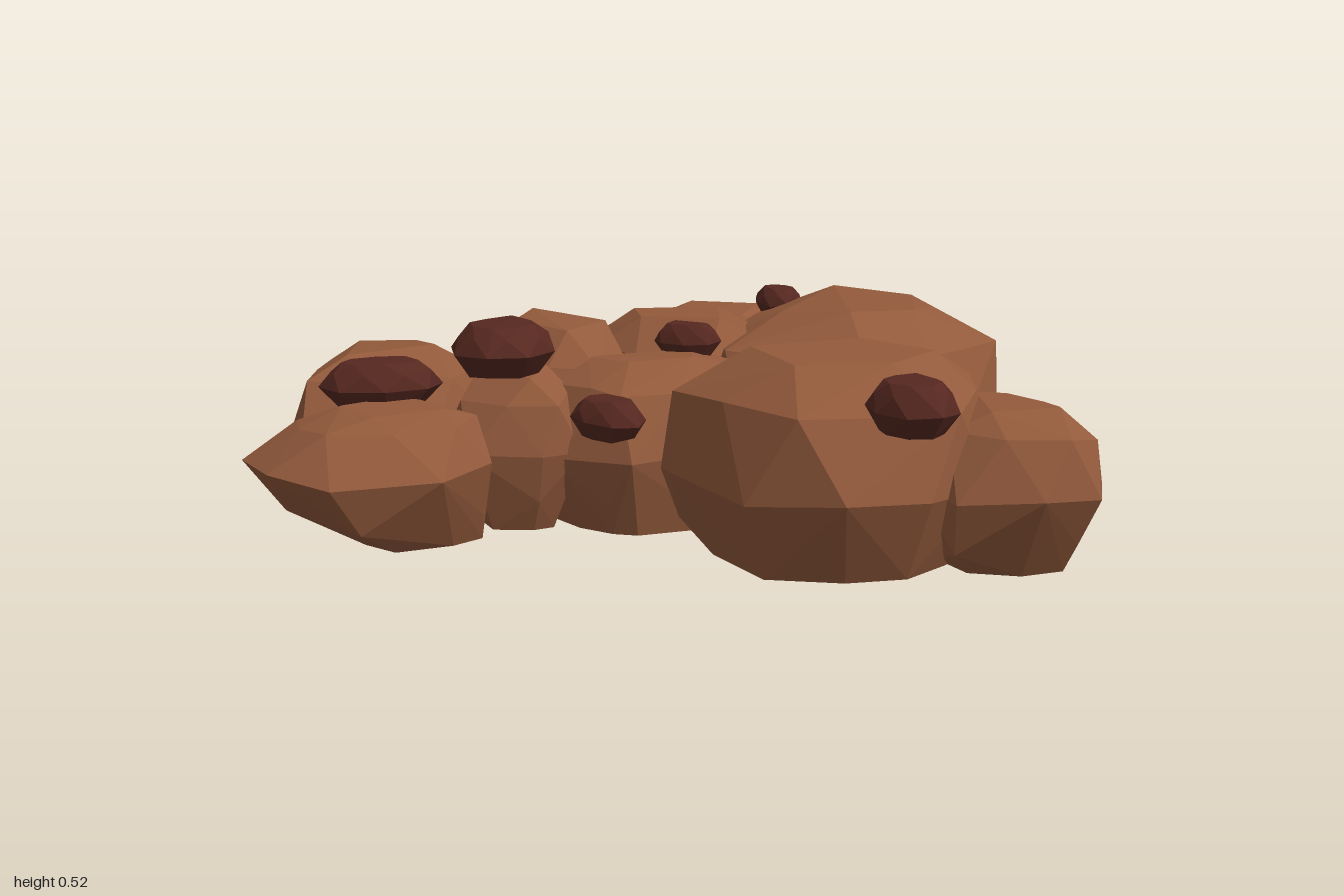
import * as THREE from 'three';
import { ConvexGeometry } from 'three/addons/geometries/ConvexGeometry.js';

const clay = new THREE.MeshStandardMaterial({ color: 0x935a3c });
clay.name = 'brown rock';
const dark = new THREE.MeshStandardMaterial({ color: 0x562820 });
dark.name = 'dark pebble';

// Small seeded generator, for slightly uneven facets
function seeded(seed) {
  let s = seed * 7919 + 13;
  return () => {
    s = (s * 16807) % 2147483647;
    return s / 2147483647 - 0.5;
  };
}

// Convex stone: rings [height, scale, step, along, offset] that follow a flat [x, z] outline.
// A step of 2 skips every other corner, which gives larger facets.
function stone(name, material, outline, rings, seed, rough) {
  const rnd = seeded(seed);
  const n = outline.length;
  const cx = outline.reduce((a, p) => a + p[0], 0) / n;
  const cz = outline.reduce((a, p) => a + p[1], 0) / n;
  const points = [];
  for (const [y, scale, step, along, offset = [0, 0]] of rings) {
    for (let i = 0; i < n; i += step) {
      const [x, z] = outline[i];
      const [x2, z2] = outline[(i + 1) % n];
      const px = x + (x2 - x) * along;
      const pz = z + (z2 - z) * along;
      const k = scale === 1 ? 1 : scale * (1 + rnd() * rough);
      const dy = y < 0.01 ? 0 : rnd() * rough * 0.12;
      points.push(new THREE.Vector3(
        cx + (px - cx) * k + offset[0], y + dy, cz + (pz - cz) * k + offset[1]));
    }
  }
  const mesh = new THREE.Mesh(new ConvexGeometry(points), material);
  mesh.name = name;
  return mesh;
}

// Boulder resting on the ground: base, foot, waist, shoulder and crown.
// The base and the crown can lean away from the middle.
function boulder(name, outline, top, base, shoulder, seed, baseLean = [0, 0], crownLean = [0, 0]) {
  const waist = 0.19;
  return stone(name, clay, outline, [
    [0, base, 1, 0, baseLean],
    [0.075, (base + 1) / 2 + 0.02, 2, 0, baseLean.map((v) => v / 2)],
    [waist, 1, 1, 0],
    [waist + (top - waist) * 0.66, shoulder, 1, 0.5, crownLean.map((v) => v / 2)],
    [top - 0.01, shoulder * 0.54, 2, 0, crownLean],
  ], seed, 0.2);
}

// Small dark stone with an oval, turned outline
function pebble(x, y, z, rx, ry, rz, turn, seed) {
  const outline = [];
  const c = Math.cos(turn), s = Math.sin(turn);
  for (let i = 0; i < 8; i++) {
    const a = (i / 8) * Math.PI * 2;
    const u = Math.cos(a) * rx, v = Math.sin(a) * rz;
    outline.push([x + u * c - v * s, z + u * s + v * c]);
  }
  return stone('darkPebble', dark, outline, [
    [y - ry, 0.68, 1, 0],
    [y - ry * 0.1, 1, 1, 0],
    [y + ry * 0.55, 0.9, 1, 0.5],
    [y + ry, 0.62, 1, 0],
  ], seed, 0.06);
}

export function createModel() {
  const group = new THREE.Group();
  group.name = 'rockCluster';

  // Large boulders on the right and behind
  group.add(boulder('largeBoulder', [
    [0.73, -0.65], [0.93, -0.43], [0.99, -0.28], [1, -0.14], [0.93, 0.02], [0.85, 0.12],
    [0.68, 0.22], [0.5, 0.25], [0.32, 0.15], [0.17, 0.02], [0.16, -0.25], [0.32, -0.55],
  ], 0.48, 0.85, 0.92, 1, [0.045, -0.03]));
  group.add(boulder('backBoulder', [
    [0.42, -0.94], [0.61, -0.88], [0.71, -0.66], [0.64, -0.5], [0.48, -0.4], [0.22, -0.48],
    [0.16, -0.71], [0.22, -0.8],
  ], 0.42, 0.62, 0.82, 2, [0, 0.07], [0, 0.06]));
  group.add(boulder('middleBoulder', [
    [0.07, -0.69], [0.2, -0.71], [0.5, -0.5], [0.55, -0.2], [0.25, -0.02], [0.02, -0.18],
    [-0.02, -0.35], [0.01, -0.52],
  ], 0.455, 0.75, 0.9, 3));

  // Boulders of the left arm
  group.add(boulder('innerBoulder', [
    [-0.2, -0.61], [0, -0.53], [0.05, -0.25], [-0.08, -0.08], [-0.24, -0.08], [-0.36, -0.2],
    [-0.37, -0.52],
  ], 0.475, 0.65, 0.83, 4));
  group.add(boulder('backLeftBoulder', [
    [-0.61, -0.8], [-0.45, -0.76], [-0.31, -0.69], [-0.27, -0.55], [-0.33, -0.35], [-0.55, -0.24],
    [-0.83, -0.4], [-0.82, -0.52], [-0.72, -0.7],
  ], 0.4, 0.6, 0.82, 5, [0.03, 0.02]));
  group.add(boulder('leftBoulder', [
    [-1, -0.32], [-0.85, -0.39], [-0.58, -0.36], [-0.44, -0.18], [-0.5, 0], [-0.65, 0.07],
    [-0.91, 0.04], [-1, -0.13],
  ], 0.325, 0.52, 0.77, 6, [0.11, 0], [0.06, -0.02]));
  group.add(boulder('leftLinkBoulder', [
    [-0.5, -0.3], [-0.3, -0.35], [-0.2, -0.2], [-0.26, -0.01], [-0.36, -0.02], [-0.52, -0.1],
  ], 0.385, 0.55, 0.9, 7));

  // Boulders in the centre and at the front
  group.add(boulder('centreBoulder', [
    [-0.34, -0.22], [0, -0.3], [0.25, -0.15], [0.3, 0.08], [0.08, 0.15], [-0.2, 0.13],
    [-0.24, 0.06], [-0.33, -0.05],
  ], 0.41, 0.75, 0.86, 8, [0, 0], [0.02, -0.04]));
  group.add(boulder('frontBoulder', [
    [-0.14, 0.16], [0.15, 0.08], [0.45, 0.17], [0.63, 0.36], [0.57, 0.56], [0.4, 0.72],
    [0.2, 0.78], [0, 0.75], [-0.15, 0.57], [-0.17, 0.27],
  ], 0.485, 0.74, 0.9, 9));
  group.add(boulder('frontRightBoulder', [
    [0.59, 0.46], [0.7, 0.53], [0.68, 0.65], [0.64, 0.81], [0.56, 0.91], [0.4, 0.92],
    [0.25, 0.8], [0.26, 0.6], [0.42, 0.45],
  ], 0.38, 0.68, 0.86, 10, [0, -0.04]));

  // Dark pebbles scattered over the top: centre, radii, turn
  const pebbles = [
    [-0.655, 0.35, -0.305, 0.15, 0.055, 0.095, 0.25],
    [-0.45, 0.462, -0.04, 0.14, 0.058, 0.125, -0.9],
    [-0.37, 0.36, 0.35, 0.1, 0.042, 0.07, 1.3],
    [0.08, 0.425, -0.115, 0.085, 0.04, 0.055, 0.7],
    [0.115, 0.425, 0.82, 0.115, 0.055, 0.095, 1.57],
    [0.59, 0.425, -0.535, 0.09, 0.038, 0.065, 1.8],
  ];
  pebbles.forEach((p, i) => group.add(pebble(...p, 20 + i)));
  return group;
}
